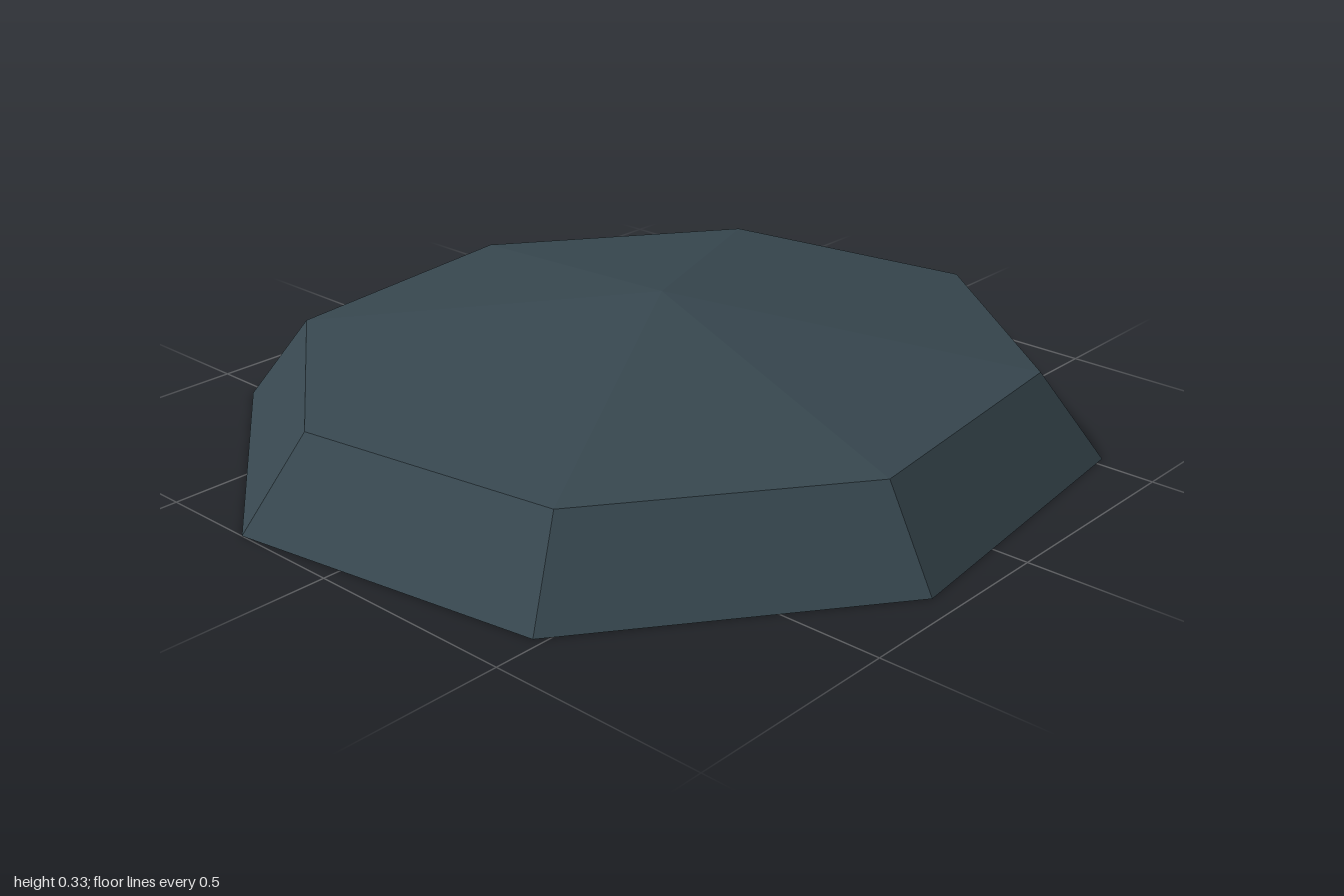
import * as THREE from 'three';

const SIDES = 8, WALL_HEIGHT = 0.2, ROOF_HEIGHT = 0.133, RIM = 0.851;

// Turns and stretches a regular octagon into the slightly skewed footprint
const footprint = new THREE.Matrix4().set(
  0.944, 0, -0.268, 0,
  0, 1, 0, 0,
  0.252, 0, 1, 0,
  0, 0, 0, 1
);

function addRing(group, name, material, topRadius, bottomRadius, height, baseY) {
  const indexed = new THREE.CylinderGeometry(topRadius, bottomRadius, height, SIDES, 1, true);
  indexed.translate(0, baseY + height / 2, 0).applyMatrix4(footprint);
  const geometry = indexed.toNonIndexed();
  geometry.computeVertexNormals();
  const mesh = new THREE.Mesh(geometry, material);
  mesh.name = name;
  group.add(mesh);
}

export function createModel() {
  const group = new THREE.Group();
  group.name = 'octagonalCap';

  const slate = new THREE.MeshStandardMaterial({ color: 0x37474f });
  slate.name = 'slate';
  slate.flatShading = true;
  slate.side = THREE.DoubleSide;

  // Sloping wall, open underneath
  addRing(group, 'slopingWall', slate, RIM, 1, WALL_HEIGHT, 0);
  // Shallow pointed roof
  addRing(group, 'roof', slate, 0, RIM, ROOF_HEIGHT, WALL_HEIGHT);

  return group;
}
